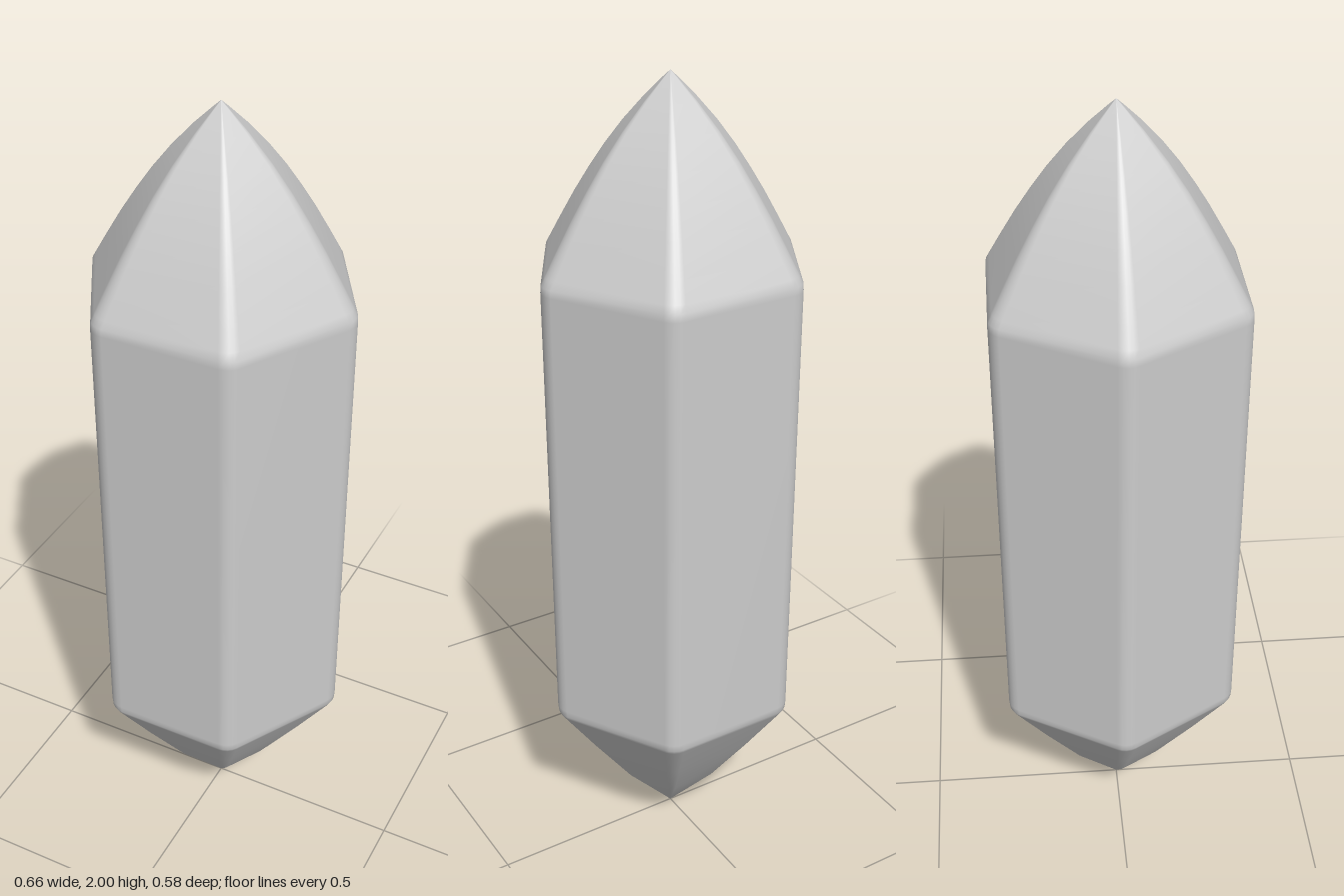
import * as THREE from 'three';

// Hexagonal cross-section with rounded corners, a corner pointing along +x
function roundedHexagon(apothem, radius, steps) {
  const points = [];
  const centre = (apothem - radius) / Math.cos(Math.PI / 6);
  for (let k = 0; k < 6; k++) {
    const corner = (k * Math.PI) / 3;
    for (let s = 0; s <= steps; s++) {
      const a = corner + (s / steps - 0.5) * (Math.PI / 3);
      points.push([
        centre * Math.cos(corner) + radius * Math.cos(a),
        centre * Math.sin(corner) + radius * Math.sin(a),
      ]);
    }
  }
  return points;
}

// Stacks scaled copies of the section; rings are [height, scale]
function loft(section, rings) {
  const n = section.length;
  const positions = [];
  const index = [];
  for (const [y, scale] of rings) {
    for (const [x, z] of section) positions.push(x * scale, y, z * scale);
  }
  for (let i = 0; i < rings.length - 1; i++) {
    for (let j = 0; j < n; j++) {
      const a = i * n + j;
      const b = i * n + ((j + 1) % n);
      index.push(a, a + n, b, b, a + n, b + n);
    }
  }
  const geometry = new THREE.BufferGeometry();
  geometry.setAttribute('position', new THREE.Float32BufferAttribute(positions, 3));
  geometry.setIndex(index);
  geometry.computeVertexNormals();
  return geometry;
}

export function createModel() {
  const group = new THREE.Group();
  group.name = 'crystal';
  const stone = new THREE.MeshStandardMaterial({ color: 0xcccccc });
  stone.name = 'pale grey stone';

  // Lower point, straight shaft with softened rims, and bulging upper point
  const rings = [
    [0, 0.001], [0.02, 0.056], [0.14, 0.39], [0.28, 0.7], [0.41, 0.975], [0.422, 0.995], [0.44, 1],
    [1.55, 1], [1.568, 0.995], [1.585, 0.965], [1.63, 0.885], [1.7, 0.757], [1.76, 0.637],
    [1.82, 0.508], [1.88, 0.362], [1.94, 0.194], [1.985, 0.052], [2, 0.001],
  ];
  const crystal = new THREE.Mesh(loft(roundedHexagon(0.29, 0.047, 4), rings), stone);
  crystal.name = 'crystalBody';
  group.add(crystal);
  return group;
}
